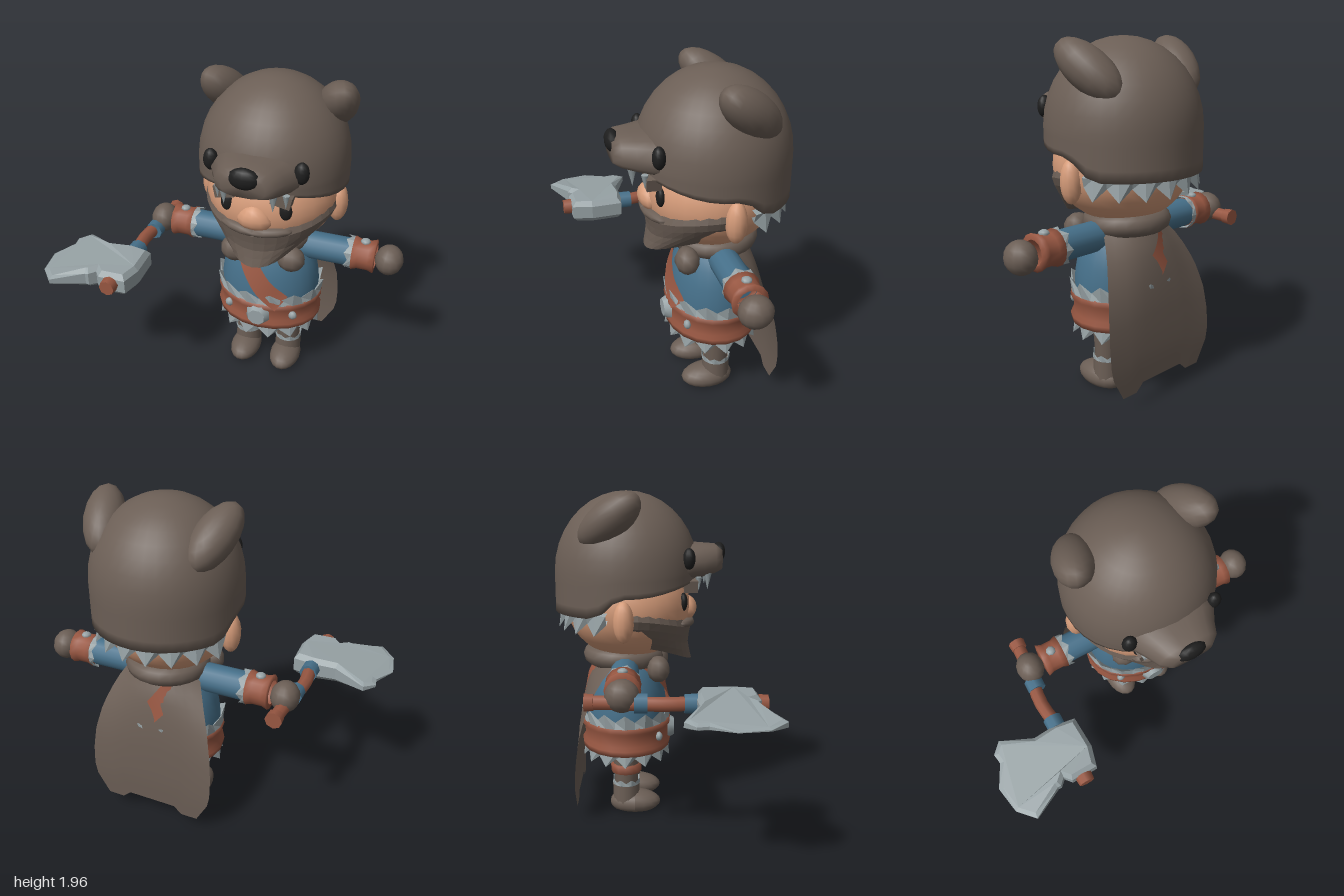
import * as THREE from 'three';
import { mergeVertices } from 'three/addons/utils/BufferGeometryUtils.js';

const mat = (name, color) => new THREE.MeshStandardMaterial({ name, color, side: THREE.DoubleSide });
const CX = 0.2, CZ = -0.2; // body axis
const { clamp, smoothstep, lerp } = THREE.MathUtils;

// value from evenly spaced samples
function sample(list, t) {
  const f = clamp(t, 0, 1) * (list.length - 1), i = Math.min(Math.floor(f), list.length - 2);
  return lerp(list[i], list[i + 1], f - i);
}

// grid surface from a rule fn(u, v) -> [x, y, z]
function loft(nu, nv, fn, flat = false) {
  const pos = [], idx = [];
  for (let j = 0; j <= nv; j++) for (let i = 0; i <= nu; i++) pos.push(...fn(i / nu, j / nv));
  for (let j = 0; j < nv; j++) for (let i = 0; i < nu; i++) {
    const a = j * (nu + 1) + i, b = a + nu + 1;
    idx.push(a, b, a + 1, b, b + 1, a + 1);
  }
  let g = new THREE.BufferGeometry();
  g.setAttribute('position', new THREE.Float32BufferAttribute(pos, 3));
  g.setIndex(idx);
  g = flat ? g.toNonIndexed() : mergeVertices(g, 1e-4);
  g.computeVertexNormals();
  return g;
}

// zigzag fur band around y; negative h points down
function furBand(rx, rz, h, n, a0 = 0, a1 = Math.PI * 2) {
  return loft(n * 2, 3, (u, v) => {
    const a = lerp(a0, a1, u), tip = Math.round(u * n * 2) % 2;
    const r = [0.95, 1.04, tip ? 1.08 : 1.0, 0.93][Math.round(v * 3)];
    const y = h * [0, 0.1, tip ? 1 : 0.5, 0.3][Math.round(v * 3)];
    return [Math.sin(a) * rx * r, y, Math.cos(a) * rz * r];
  }, true);
}

// torso radius at a height
const torsoR = (y) => sample([0.22, 0.29, 0.31, 0.305, 0.285, 0.24, 0.15], (y - 0.35) / 0.65);

export function createModel() {
  const brown = mat('fur brown', 0x6b5e55), skin = mat('skin', 0xd69c7a), blue = mat('tunic blue', 0x46708a);
  const leather = mat('leather', 0x985742), steel = mat('steel grey', 0x97a2a5), black = mat('black', 0x1e1e1e);
  const model = new THREE.Group();
  const add = (name, geo, m, x = 0, y = 0, z = 0) => {
    const mesh = new THREE.Mesh(geo, m);
    mesh.name = name;
    mesh.position.set(x, y, z);
    model.add(mesh);
    return mesh;
  };
  const ball = (name, m, x, y, z, rx, ry, rz, n = 16) => {
    const b = add(name, new THREE.SphereGeometry(1, n, Math.ceil(n * 0.7)), m, x, y, z);
    b.scale.set(rx, ry, rz);
    return b;
  };
  const lathe = (pts, n) => new THREE.LatheGeometry(pts.map((p) => new THREE.Vector2(...p)), n);

  // head and face
  ball('head', skin, CX, 1.28, -0.18, 0.385, 0.32, 0.375, 28);
  const nose = new THREE.SphereGeometry(1, 12, 8);
  const np = nose.attributes.position;
  for (let i = 0; i < np.count; i++) np.setX(i, np.getX(i) * (1 - 0.3 * np.getY(i)));
  nose.computeVertexNormals();
  add('nose', nose, skin, CX, 1.265, 0.165).scale.set(0.1, 0.078, 0.072);
  for (const s of [-1, 1]) {
    ball('eye', black, CX + s * 0.165, 1.32, 0.147, 0.04, 0.055, 0.025, 12);
    ball('ear', skin, CX + s * 0.385, 1.235, -0.2, 0.058, 0.12, 0.06, 12);
    const m = ball('moustache', brown, CX + s * 0.09, 1.185, 0.165, 0.13, 0.03, 0.045, 10);
    m.rotation.set(0, s * 0.3, s * 0.05);
  }
  // beard wraps the lower face, last row tucks underneath
  add('beard', loft(20, 6, (u, v) => {
    const a = lerp(-1.75, 1.75, u), s2 = Math.sin(a) ** 2, t = Math.min(v * 1.2, 1), end = v > 0.99;
    const w = end ? 0.1 : sample([0.38, 0.395, 0.36, 0.31, 0.24], t);
    const d = end ? 0.1 : sample([0.36, 0.385, 0.36, 0.37, 0.385], t);
    const y = lerp(1.205 + 0.08 * s2, 0.95 + 0.11 * s2, t) + (end ? 0.06 : 0);
    return [CX + Math.sin(a) * w, y, -0.18 + Math.cos(a) * d];
  }, true), brown);

  // bear hood: dome with a rim that drops at the back
  add('hood', loft(36, 14, (u, v) => {
    const a = u * Math.PI * 2, back = Math.PI - Math.abs(a - Math.PI);
    const rim = 1.46 - 0.09 * Math.sin(Math.min(back, 1.57)) ** 2 - 0.115 * smoothstep(back, 1.6, 2.05);
    const t = Math.min(v / 0.93, 1);
    let y, r;
    if (t < 0.7) {
      const p = (t / 0.7) * Math.PI / 2;
      y = 1.49 + 0.472 * Math.cos(p);
      r = 0.432 * Math.sin(p);
    } else {
      y = lerp(1.49, rim, (t - 0.7) / 0.3);
      r = 0.432;
    }
    if (v > 0.99) r = 0.36;
    return [CX + Math.sin(a) * r, y, -0.19 + Math.cos(a) * r];
  }), brown);
  add('hoodFringe', furBand(0.4, 0.385, -0.13, 8, 1.85, Math.PI * 2 - 1.85), steel, CX, 1.285, -0.19);
  // snout sections along z
  add('snout', loft(18, 5, (u, v) => {
    const a = u * Math.PI * 2, c = Math.cos(a), s = Math.sin(a);
    const k = (q) => Math.sign(q) * Math.abs(q) ** 0.6;
    const w = sample([0.27, 0.24, 0.2, 0.17, 0.12, 0], v) * (s > 0 ? 1 - 0.35 * s : 1);
    const top = sample([1.67, 1.66, 1.655, 1.65, 1.63, 1.57], v), bot = sample([1.42, 1.45, 1.46, 1.48, 1.5, 1.57], v);
    return [CX + k(c) * w, (top + bot) / 2 + k(s) * (top - bot) / 2, sample([0.05, 0.2, 0.27, 0.34, 0.38, 0.383], v)];
  }), brown);
  ball('bearNose', black, CX, 1.6, 0.365, 0.085, 0.06, 0.04, 12);
  for (const s of [-1, 1]) {
    ball('bearEye', black, CX + s * 0.25, 1.58, 0.175, 0.042, 0.062, 0.036, 12);
    const ear = ball('bearEar', brown, CX + s * 0.32, 1.8, -0.275, 0.115, 0.11, 0.22, 16);
    ear.rotation.set(-0.64, s * 0.35, 0, 'YXZ');
    const lip = add('lipCorner', new THREE.BoxGeometry(0.11, 0.07, 0.08), brown, CX + s * 0.16, 1.425, 0.19);
    lip.rotation.z = -s * 0.2;
    add('fang', new THREE.ConeGeometry(0.03, 0.12, 6), steel, CX + s * 0.135, 1.45, 0.29).rotation.x = Math.PI;
    add('smallFang', new THREE.ConeGeometry(0.02, 0.08, 6), steel, CX + s * 0.19, 1.43, 0.235).rotation.x = Math.PI;
  }

  // torso, trousers and belt
  const heights = [...Array(14).keys()].map((i) => 0.35 + i * 0.05);
  add('tunic', lathe(heights.map((y) => [torsoR(y), y]), 28), blue, CX, 0, CZ).scale.z = 0.82;
  add('trousers', lathe([[0, 0.31], [0.15, 0.32], [0.24, 0.36], [0.28, 0.43]], 24), brown, CX, 0, CZ).scale.z = 0.85;
  add('beltFurTop', furBand(0.315, 0.262, 0.1, 14), steel, CX, 0.57, CZ);
  add('beltFurBottom', furBand(0.3, 0.255, -0.1, 14), steel, CX, 0.435, CZ);
  add('belt', lathe([[0.28, 0.4], [0.325, 0.405], [0.332, 0.44], [0.312, 0.46], [0.312, 0.53], [0.332, 0.55],
    [0.325, 0.585], [0.28, 0.59]], 20), leather, CX, 0, CZ).scale.z = 0.84;
  add('buckle', new THREE.CylinderGeometry(0.055, 0.078, 0.04, 8), steel, CX, 0.5, 0.08)
    .rotation.set(Math.PI / 2, Math.PI / 8, 0);
  for (const s of [-1, 1]) ball('beltStud', steel, CX + s * 0.205, 0.5, 0.003, 0.028, 0.028, 0.022, 8);

  // strap over the right shoulder, lying on the tunic
  const onTorso = (x, y, side) => {
    const r = torsoR(y) + 0.014, d = x - CX;
    return new THREE.Vector3(x, y, CZ + side * 0.84 * Math.sqrt(Math.max(r * r - d * d, 0)));
  };
  const strap = new THREE.CatmullRomCurve3([onTorso(0.34, 0.6, 1), onTorso(0.23, 0.7, 1), onTorso(0.14, 0.82, 1),
    onTorso(0.08, 0.92, 1), new THREE.Vector3(0.03, 1.035, CZ), onTorso(0.08, 0.92, -1),
    onTorso(0.16, 0.8, -1), onTorso(0.34, 0.6, -1)]);
  add('strap', loft(1, 30, (u, v) => {
    const p = strap.getPoint(v), out = p.clone().sub(new THREE.Vector3(CX, p.y - 0.08, CZ));
    return p.addScaledVector(strap.getTangent(v).cross(out).normalize(), (u - 0.5) * 0.12).toArray();
  }), leather);

  // fur collar and cape
  const collar = add('collar', new THREE.TorusGeometry(0.185, 0.062, 10, 24), brown, CX, 0.97, -0.215);
  collar.rotation.x = Math.PI / 2 + 0.05;
  for (const s of [-1, 1]) ball('collarEnd', brown, CX + s * 0.175, 0.915, 0.0, 0.085, 0.08, 0.07, 10);
  add('cape', loft(12, 14, (u, v) => {
    const k = u * 2 - 1, w = sample([0.19, 0.28, 0.34, 0.375, 0.39, 0.385, 0.3], v);
    const hem = 0.085 + (Math.abs(k) < 0.6 ? 0.045 : 0);
    const z = sample([-0.35, -0.43, -0.465, -0.485, -0.495, -0.5, -0.495], v);
    return [CX + k * w, lerp(1.0, hem, v), z + 0.14 * k * k * (1 - v) ** 3];
  }), brown);

  // arms, cuffs and hands
  for (const s of [-1, 1]) {
    const at = (d) => CX + s * d;
    add('sleeve', new THREE.CylinderGeometry(0.085, 0.085, 0.4, 14), blue, at(0.29), 0.91, CZ).rotation.z = Math.PI / 2;
    add('cuffFur', furBand(0.094, 0.094, 0.05, 7), steel, at(0.51), 0.91, CZ).rotation.z = s * Math.PI / 2;
    add('cuff', lathe([[0.07, -0.07], [0.102, -0.065], [0.09, -0.03], [0.09, 0.03], [0.102, 0.065], [0.07, 0.07]], 14),
      leather, at(0.57), 0.91, CZ).rotation.z = Math.PI / 2;
    ball('cuffStud', steel, at(0.57), 1.0, CZ, 0.03, 0.02, 0.03, 8);
    ball('hand', brown, at(0.717), 0.905, CZ, 0.083, 0.09, 0.095, 14);
  }

  // legs and boots
  for (const s of [-1, 1]) {
    const x = CX + s * 0.137;
    add('leg', new THREE.CylinderGeometry(0.085, 0.07, 0.22, 14), brown, x, 0.28, CZ);
    add('bootShaft', new THREE.CylinderGeometry(0.08, 0.085, 0.13, 14), brown, x, 0.12, CZ);
    add('bootFur', furBand(0.082, 0.082, 0.045, 8), steel, x, 0.17, CZ);
    const g = new THREE.SphereGeometry(1, 18, 12), p = g.attributes.position;
    for (let i = 0; i < p.count; i++) {
      const front = clamp(p.getZ(i), -1, 1);
      p.setXYZ(i, p.getX(i) * 0.097, Math.max(p.getY(i) * (0.075 - 0.008 * front) + 0.05, 0), p.getZ(i) * 0.158);
    }
    g.computeVertexNormals();
    add('boot', g, brown, x, 0, -0.145);
  }
  add('kneeBand', lathe([[0.07, -0.03], [0.094, -0.025], [0.096, 0.025], [0.07, 0.03]], 12), leather, CX - 0.137, 0.28, CZ);

  // axe held in the right hand
  const haft = new THREE.CatmullRomCurve3([[-0.52, -0.39], [-0.53, -0.22], [-0.56, 0.02], [-0.54, 0.2], [-0.54, 0.57]]
    .map(([x, z]) => new THREE.Vector3(x, 0.87, z)));
  add('axeHandle', new THREE.TubeGeometry(haft, 16, 0.04, 8), leather);
  [[-0.52, 0.395], [-0.54, 0.565]].forEach(([x, z], i) => {
    const cap = add(i ? 'handleTip' : 'handlePommel', new THREE.CylinderGeometry(0.046, 0.05, 0.05, 8), leather, x, 0.87, i ? z - 0.02 : -z + 0.02);
    cap.rotation.x = Math.PI / 2;
  });
  for (const [x, z] of [[-0.545, 0.165], [-0.54, -0.1]])
    add('gripWrap', new THREE.CylinderGeometry(0.054, 0.054, 0.07, 8), blue, x, 0.87, z).rotation.x = Math.PI / 2;
  const outline = [[-0.43, 0.21], [-0.55, 0.19], [-0.69, 0.2], [-0.88, 0.11], [-0.94, 0.17], [-0.93, 0.23], [-1, 0.36],
    [-0.97, 0.52], [-0.88, 0.615], [-0.7, 0.52], [-0.68, 0.52], [-0.645, 0.485], [-0.61, 0.525], [-0.45, 0.52], [-0.42, 0.4]];
  const blade = new THREE.ExtrudeGeometry(new THREE.Shape(outline.map((p) => new THREE.Vector2(...p))),
    { depth: 0.08, bevelThickness: 0.03, bevelSize: 0.025, bevelOffset: -0.025, bevelSegments: 1 });
  blade.translate(0, 0, -0.04).rotateX(Math.PI / 2);
  const bp = blade.attributes.position;
  for (let i = 0; i < bp.count; i++) bp.setY(i, bp.getY(i) * clamp((bp.getX(i) + 1) / 0.34, 0.04, 1));
  blade.computeVertexNormals();
  add('axeBlade', blade, steel, 0, 0.865, 0);
  return model;
}
